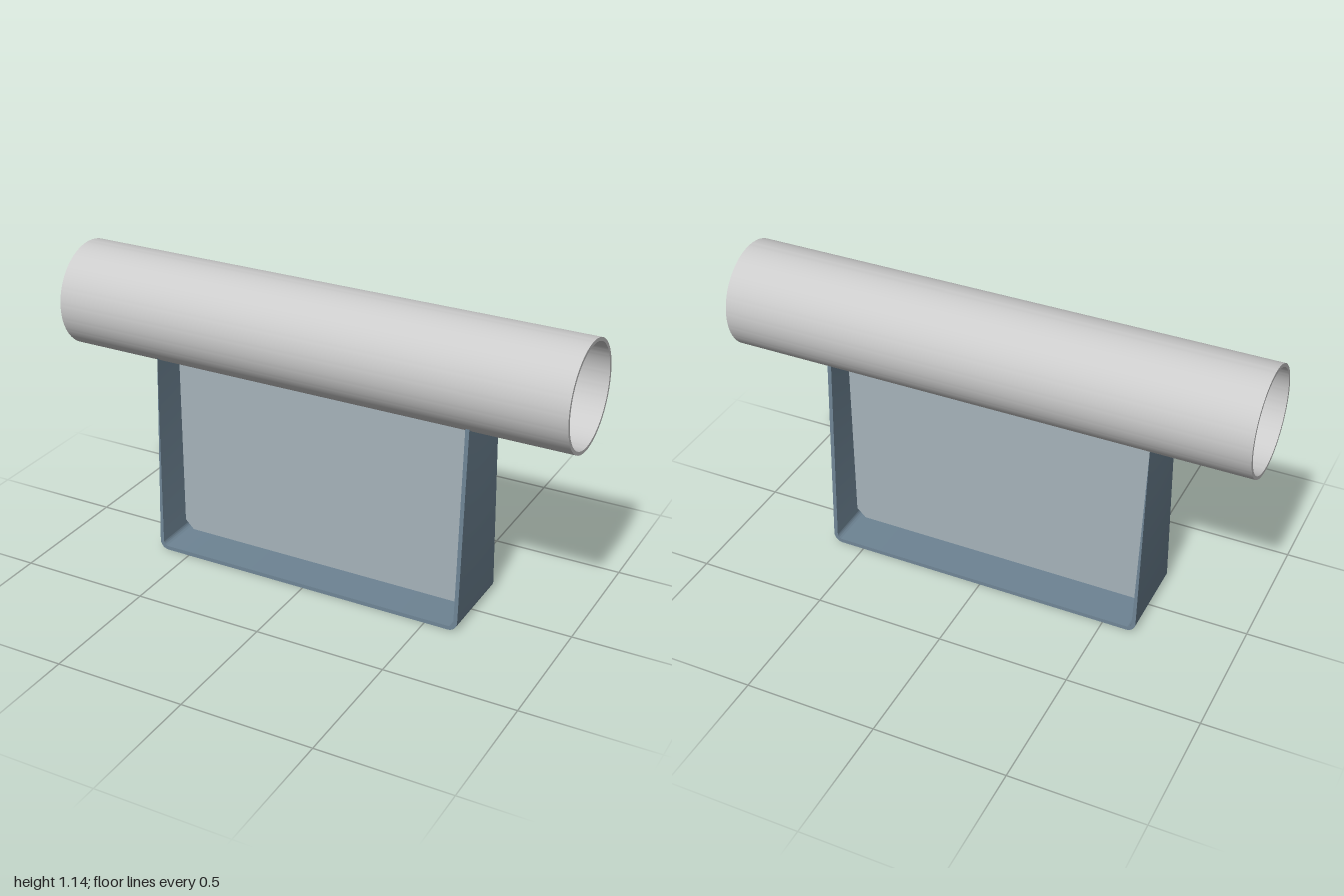
import * as THREE from 'three';
import { toCreasedNormals } from 'three/addons/utils/BufferGeometryUtils.js';

const PIPE_Y = 0.942, PIPE_R = 0.2, PIPE_INNER = 0.187;
const HALF_W = 0.628, WALL = 0.015, CORNER = 0.036;
const HALF_DEPTH = 0.165, TOP_HALF_DEPTH = 0.128;

// underside of the pipe at depth z
const saddleY = (z) => PIPE_Y - Math.sqrt(PIPE_R * PIPE_R - z * z);

function makeMesh(name, geometry, color) {
  const mesh = new THREE.Mesh(
    toCreasedNormals(geometry, 0.5),
    new THREE.MeshStandardMaterial({ color })
  );
  mesh.name = name;
  return mesh;
}

// open tube lying along x
function pipeGeometry() {
  const ring = new THREE.Shape().absarc(0, 0, PIPE_R, 0, Math.PI * 2);
  ring.holes.push(new THREE.Path().absarc(0, 0, PIPE_INNER, 0, Math.PI * 2, true));
  return new THREE.ExtrudeGeometry(ring, { depth: 2, bevelEnabled: false, curveSegments: 72 })
    .translate(0, 0, -1)
    .rotateY(Math.PI / 2)
    .translate(0, PIPE_Y, 0);
}

// bent U strip, tapering upwards, with leg tops cut to fit the pipe
function bracketGeometry() {
  const top = saddleY(TOP_HALF_DEPTH), cx = HALF_W - CORNER, r = CORNER - WALL;
  const u = new THREE.Shape();
  u.moveTo(-HALF_W, top);
  u.lineTo(-HALF_W, CORNER);
  u.absarc(-cx, CORNER, CORNER, Math.PI, Math.PI * 1.5);
  u.absarc(cx, CORNER, CORNER, Math.PI * 1.5, Math.PI * 2);
  u.lineTo(HALF_W, top);
  u.lineTo(HALF_W - WALL, top);
  u.lineTo(HALF_W - WALL, CORNER);
  u.absarc(cx, CORNER, r, 0, -Math.PI / 2, true);
  u.absarc(-cx, CORNER, r, -Math.PI / 2, -Math.PI, true);
  u.closePath();
  const g = new THREE.ExtrudeGeometry(u, { depth: 2, steps: 24, bevelEnabled: false, curveSegments: 8 })
    .translate(0, 0, -1);
  const p = g.attributes.position;
  for (let i = 0; i < p.count; i++) {
    const y = p.getY(i);
    const z = p.getZ(i) * THREE.MathUtils.lerp(HALF_DEPTH, TOP_HALF_DEPTH, y / top);
    p.setZ(i, z);
    if (y > top - 0.01) p.setY(i, saddleY(z));
  }
  return g;
}

// thin centre plate with clipped lower corners
function plateGeometry() {
  const w = HALF_W - WALL, y0 = WALL, y1 = 0.737, c = 0.035;
  const s = new THREE.Shape();
  s.moveTo(-w + c, y0);
  s.lineTo(w - c, y0);
  s.lineTo(w, y0 + c);
  s.lineTo(w, y1);
  s.lineTo(-w, y1);
  s.lineTo(-w, y0 + c);
  s.closePath();
  return new THREE.ExtrudeGeometry(s, { depth: 0.01, bevelEnabled: false }).translate(0, 0, -0.005);
}

export function createModel() {
  const model = new THREE.Group();
  model.name = 'pipeSupport';
  model.add(
    makeMesh('pipe', pipeGeometry(), 0xcccccc),
    makeMesh('bracket', bracketGeometry(), 0x6e8494),
    makeMesh('centrePlate', plateGeometry(), 0xa6b3ba)
  );
  return model;
}
